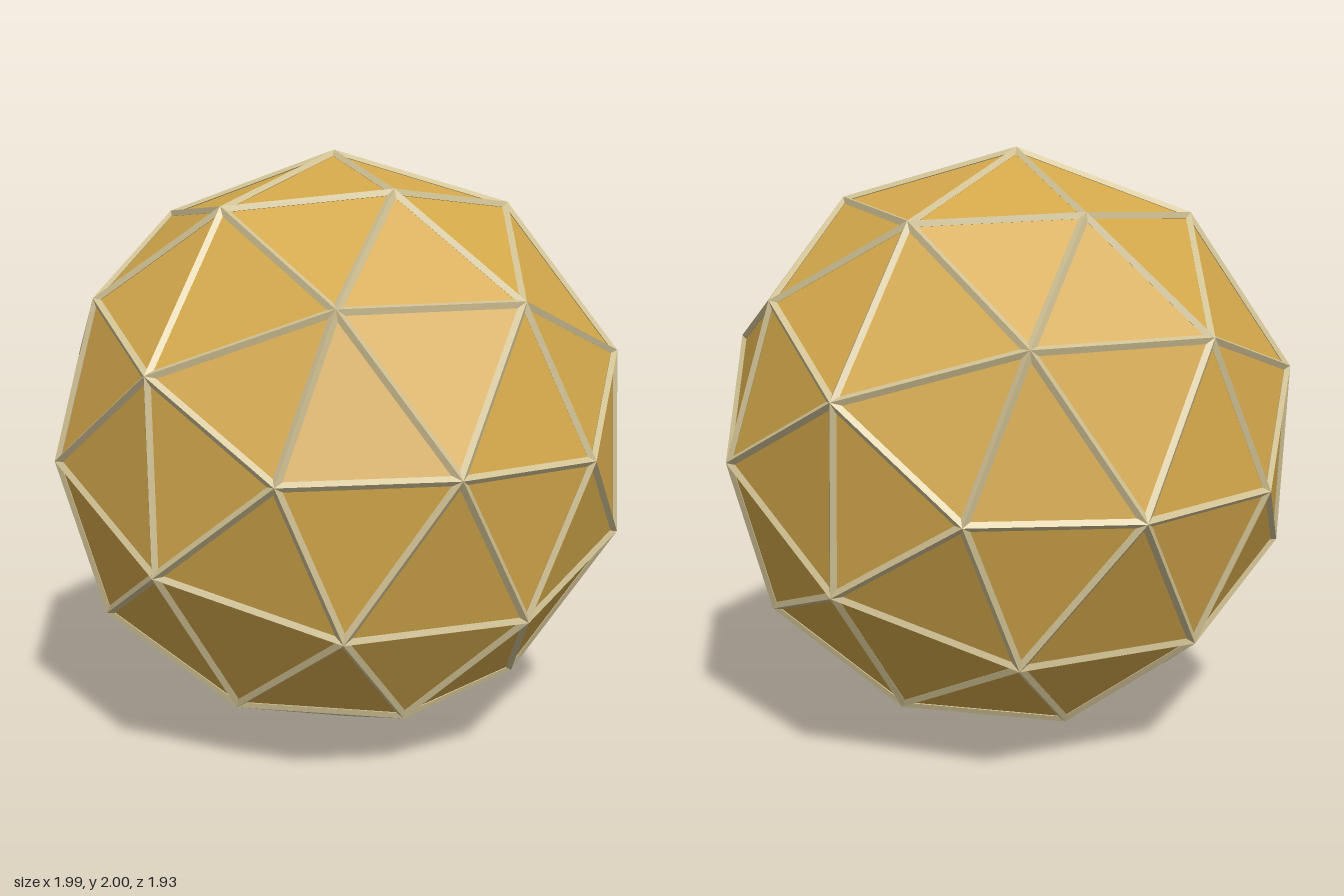
import * as THREE from 'three';

const OUTER = 1.0045;   // radius of the strut ridges at the hubs
const PANEL = 0.99;     // radius of the panel corners
const HALF_WIDTH = 0.015;

// Diamond-section bar from a to b, its ridge pointing away from the centre
function strutCorners(a, b, out) {
  const dir = b.clone().sub(a).normalize();
  const side = dir.clone().cross(a.clone().add(b).normalize()).multiplyScalar(HALF_WIDTH);
  const section = p => [
    p.clone().setLength(OUTER),
    p.clone().add(side),
    p.clone().setLength(2 * PANEL - OUTER),
    p.clone().sub(side),
  ];
  const A = section(a), B = section(b);
  for (let k = 0; k < 4; k++) {
    const m = (k + 1) % 4;
    out.push(A[k], A[m], B[m], A[k], B[m], B[k]);
  }
}

export function createModel() {
  const gold = new THREE.MeshStandardMaterial({ color: 0xd4a84b, flatShading: true });
  gold.name = 'gold';
  const paleBrass = new THREE.MeshStandardMaterial({ color: 0xd0c193, flatShading: true });
  paleBrass.name = 'pale brass';

  const ball = new THREE.Group();
  ball.name = 'geodesicBall';

  // Eighty flat triangular panels
  const panelGeometry = new THREE.IcosahedronGeometry(PANEL, 1);
  panelGeometry.computeVertexNormals();
  const panels = new THREE.Mesh(panelGeometry, gold);
  panels.name = 'panels';

  // One strut along every panel edge
  const edges = new THREE.EdgesGeometry(panelGeometry, 1).attributes.position;
  const corners = [];
  for (let i = 0; i < edges.count; i += 2) {
    strutCorners(
      new THREE.Vector3().fromBufferAttribute(edges, i),
      new THREE.Vector3().fromBufferAttribute(edges, i + 1),
      corners
    );
  }
  const strutGeometry = new THREE.BufferGeometry().setFromPoints(corners);
  strutGeometry.computeVertexNormals();
  const struts = new THREE.Mesh(strutGeometry, paleBrass);
  struts.name = 'struts';

  ball.add(panels, struts);

  // Tilt of the ball, given by two of its twofold axes
  const up = new THREE.Vector3(-0.08, 0.9955, -0.05).normalize();
  const front = new THREE.Vector3(-0.425, 0.011, 0.905);
  const right = up.clone().cross(front).normalize();
  front.crossVectors(right, up);
  ball.quaternion.setFromRotationMatrix(new THREE.Matrix4().makeBasis(right, up, front));
  ball.position.y = 1;

  const model = new THREE.Group();
  model.name = 'model';
  model.add(ball);
  return model;
}
